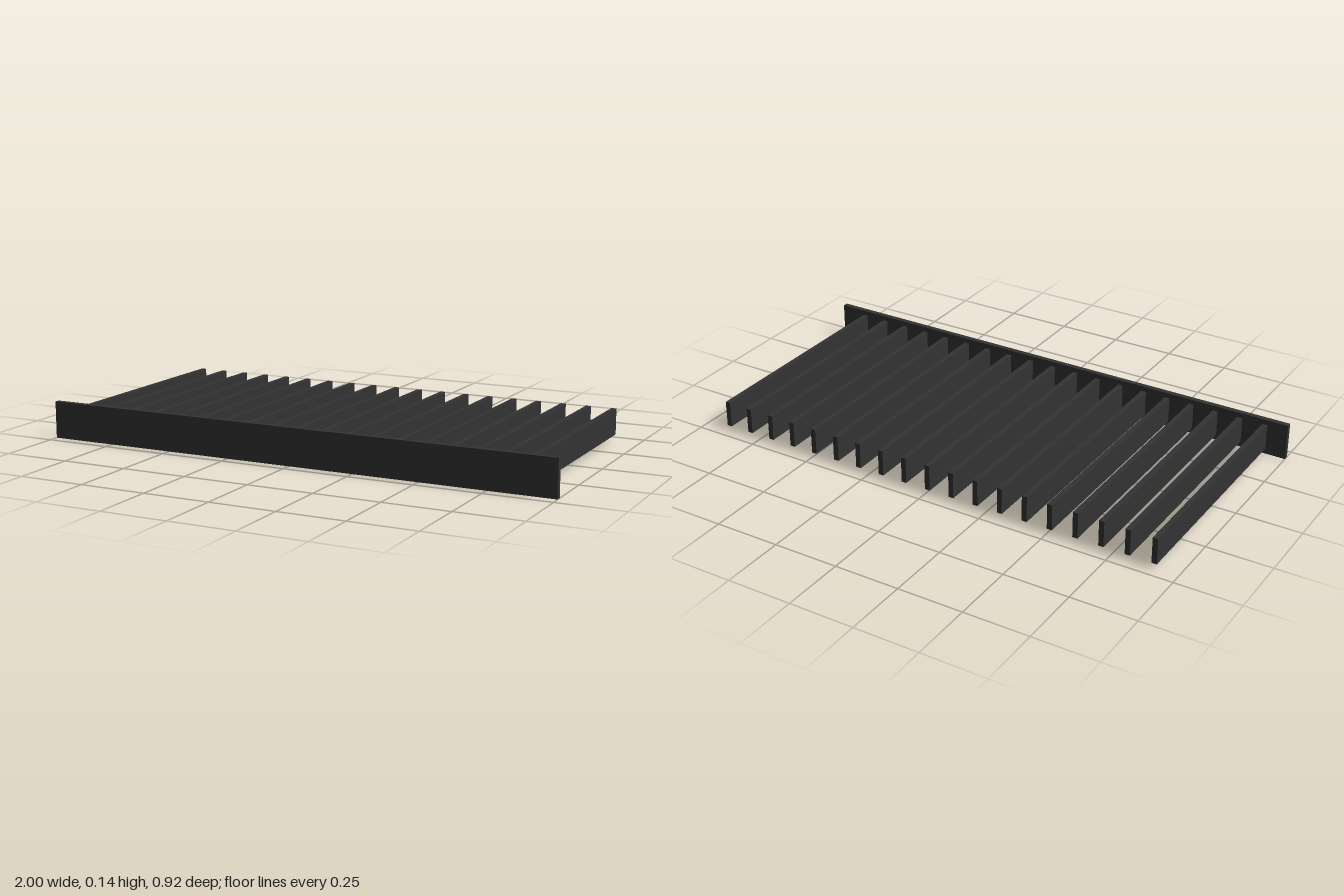
import * as THREE from 'three';

export function createModel() {
  const group = new THREE.Group();
  group.name = 'slattedRack';

  const charcoal = new THREE.MeshStandardMaterial({ color: 0x333333 });
  charcoal.name = 'charcoal';

  // Upright plate across the front
  const frontPlate = new THREE.Mesh(new THREE.BoxGeometry(2, 0.14, 0.02), charcoal);
  frontPlate.name = 'frontPlate';
  frontPlate.position.set(0, 0.07, 0.45);
  group.add(frontPlate);

  // Evenly spaced slats running back from the plate
  const slatGeometry = new THREE.BoxGeometry(0.02, 0.1, 0.9);
  for (let i = 0; i < 19; i++) {
    const slat = new THREE.Mesh(slatGeometry, charcoal);
    slat.name = `slat${i + 1}`;
    slat.position.set(-0.91 + i * 0.1, 0.07, -0.01);
    group.add(slat);
  }

  return group;
}
